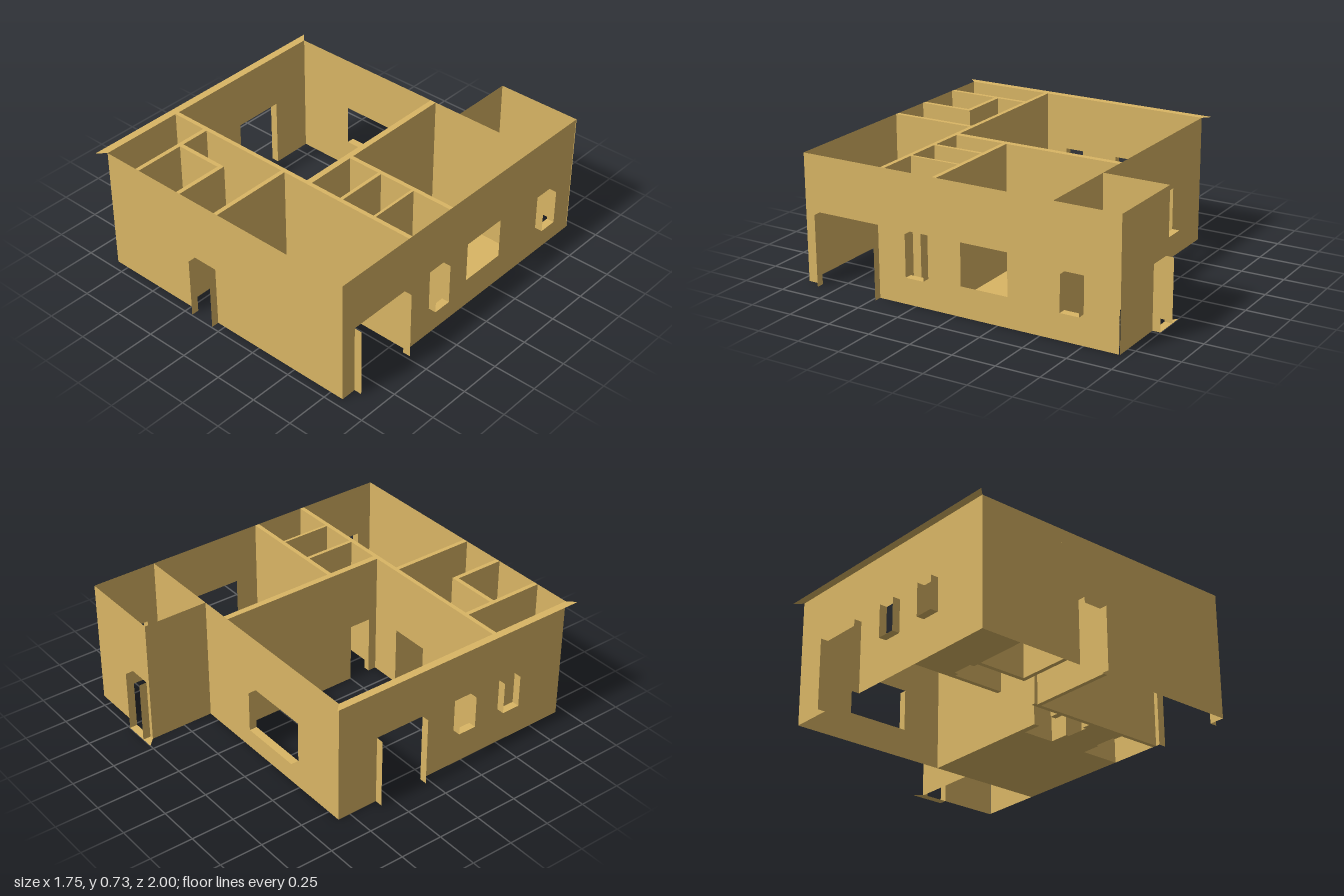
import * as THREE from 'three';

const H = 0.73; // wall height
const D = 0.045; // depth of the outer reveals
const DOOR = 0.35; // inner door height

export function createModel() {
  const house = new THREE.Group();
  house.name = 'house';
  const mat = new THREE.MeshStandardMaterial({ color: 0xd9b564, side: THREE.DoubleSide });

  const add = (geo, name) => {
    const mesh = new THREE.Mesh(geo, mat);
    mesh.name = name;
    house.add(mesh);
    return mesh;
  };

  // Flat four-cornered panel
  const quad = (name, a, b, c, d) => {
    const geo = new THREE.BufferGeometry();
    geo.setAttribute('position', new THREE.Float32BufferAttribute([...a, ...b, ...c, ...d], 3));
    geo.setIndex([0, 1, 2, 0, 2, 3]);
    geo.computeVertexNormals();
    return add(geo, name);
  };

  const floor = (name, x0, x1, z0, z1, y = 0) =>
    quad(name, [x0, y, z1], [x1, y, z1], [x1, y, z0], [x0, y, z0]);

  // Wall outline with door notches and window holes; openings are [from, to, bottom, top]
  const wallShape = (u0, u1, openings) => {
    const s = new THREE.Shape();
    s.moveTo(u0, 0);
    for (const [a, b, y0, y1] of openings) {
      if (y0 === 0) {
        s.lineTo(a, 0);
        s.lineTo(a, y1);
        s.lineTo(b, y1);
        s.lineTo(b, 0);
      } else {
        const h = new THREE.Path();
        h.moveTo(a, y0);
        h.lineTo(a, y1);
        h.lineTo(b, y1);
        h.lineTo(b, y0);
        h.closePath();
        s.holes.push(h);
      }
    }
    s.lineTo(u1, 0);
    s.lineTo(u1, H);
    s.lineTo(u0, H);
    s.closePath();
    return s;
  };

  const wallGeo = (u0, u1, openings, t) => {
    const s = wallShape(u0, u1, openings);
    return t ? new THREE.ExtrudeGeometry(s, { depth: t, bevelEnabled: false }) : new THREE.ShapeGeometry(s);
  };

  // Wall along x, from z to z + t
  const wallX = (name, x0, x1, z, openings = [], t = 0) => {
    add(wallGeo(x0, x1, openings, t), name).position.z = z;
  };

  // Wall along z, from x to x + t
  const wallZ = (name, z0, z1, x, openings = [], t = 0) => {
    const mesh = add(wallGeo(z0, z1, openings, t), name);
    mesh.rotation.y = -Math.PI / 2;
    mesh.position.x = x + t;
  };

  // Side panels and sill standing out from an opening
  const reveal = (name, axis, at, out, [a, b, y0, y1], sides = [a, b]) => {
    const p = (u, y, w) => (axis === 'x' ? [u, y, w] : [w, y, u]);
    const far = at + out;
    for (const u of sides) quad(name + 'Jamb', p(u, y0, at), p(u, y0, far), p(u, y1, far), p(u, y1, at));
    if (y0 > 0) quad(name + 'Sill', p(a, y0, at), p(b, y0, at), p(b, y0, far), p(a, y0, far));
  };

  // Front wall and entrance
  const entrance = [-0.2, -0.05, 0, 0.36];
  wallX('frontWall', -0.83, 0.83, 0.95, [entrance]);
  reveal('entrance', 'x', 0.95, D, entrance);

  // Right-hand (+x) wall: garage door and three windows
  const garage = [0.48, 0.86, 0, 0.41];
  const sideWindow = [0.17, 0.28, 0.17, 0.41];
  const wideWindow = [-0.31, -0.03, 0.17, 0.41];
  const rearWindow = [-0.75, -0.64, 0.17, 0.375];
  wallZ('garageSideWall', -0.95, 0.95, 0.83, [rearWindow, wideWindow, sideWindow, garage]);
  for (const o of [garage, sideWindow, rearWindow]) reveal('garageSide', 'z', 0.83, D, o);

  // Opposite (-x) wall: terrace door, two windows and the mitred top strip
  const terrace = [-0.33, -0.03, 0, 0.41];
  const bedWindows = [[0.19, 0.3, 0.22, 0.41], [0.5, 0.61, 0.22, 0.41]];
  wallZ('terraceSideWall', -0.575, 0.95, -0.83, [terrace, ...bedWindows]);
  for (const o of [terrace, ...bedWindows]) reveal('terraceSide', 'z', -0.83, -D, o);
  quad('wallTopStrip', [-0.875, H, 0.995], [-0.83, H, 0.95], [-0.83, H, -0.575], [-0.875, H, -0.62]);

  // Back wall with its wide window
  const backWindow = [-0.49, -0.12, 0.17, 0.41];
  wallX('backWall', -0.83, 0.83, -0.575, [backWindow]);
  reveal('backWindow', 'x', -0.575, -D, backWindow, [-0.12]);

  // Back room with door and mitred threshold
  const backDoor = [0.35, 0.485, 0, 0.36];
  wallX('backRoomWall', 0.325, 0.83, -0.955, [backDoor]);
  wallZ('backRoomSideWall', -0.955, -0.575, 0.325);
  reveal('backDoor', 'x', -0.955, -D, backDoor);
  quad('threshold', [0.325, 0, -0.955], [0.485, 0, -0.955], [0.485, 0, -1], [0.28, 0, -1]);

  // Inner walls
  const closetDoor = [0.25, 0.38, 0, DOOR];
  wallX('crossWall', -0.83, 0.83, 0.43, [[-0.29, -0.06, 0, DOOR]], 0.025);
  wallZ('livingWall', -0.575, 0.43, 0.12, [closetDoor], 0.035);
  wallX('kitchenWall', 0.155, 0.83, 0.11, [], 0.025);
  wallZ('closetWall', 0.135, 0.43, 0.35, [closetDoor], 0.02);
  wallZ('closetWall', 0.135, 0.43, 0.575, [closetDoor], 0.015);
  wallZ('bathroomWall', 0.455, 0.95, -0.615, [[0.48, 0.6, 0, DOOR]], 0.025);
  wallX('nookWall', -0.59, -0.285, 0.628, [], 0.025);
  wallZ('hallWall', 0.653, 0.95, -0.31, [], 0.025);
  wallZ('garageWall', 0.455, 0.95, -0.04, [], 0.025);

  // Floors
  floor('mainRoomFloor', 0.12, 0.83, -0.575, 0.135);
  floor('closetFloor', 0.37, 0.575, 0.135, 0.43);
  floor('bathroomFloor', -0.83, -0.615, 0.455, 0.95);

  return house;
}
